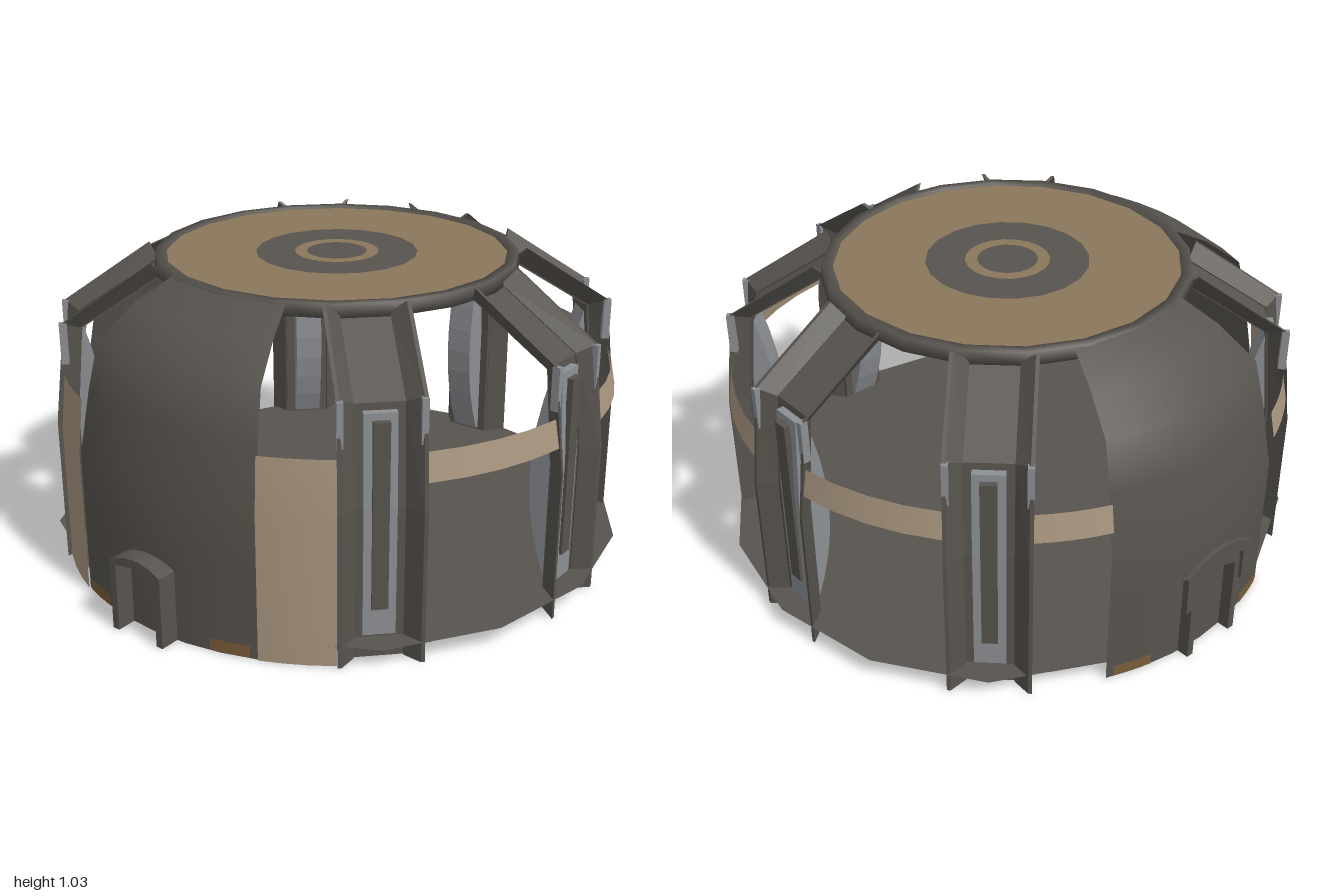
import * as THREE from 'three';

const DS = THREE.DoubleSide;
const mat = (name, color) => {
  const m = new THREE.MeshStandardMaterial({ color, side: DS });
  m.name = name;
  return m;
};
const rad = THREE.MathUtils.degToRad;

export function createModel() {
  const root = new THREE.Group();
  root.name = 'roundPavilion';
  const grey = mat('darkGrey', 0x57534e);
  const tan = mat('roofTan', 0x8b775c);
  const cream = mat('bandCream', 0xa8957f);
  const metal = mat('paleMetal', 0x8c8f93);
  const brown = mat('rustBrown', 0x7a5d3a);

  const add = (parent, name, geo, m, x = 0, y = 0, z = 0) => {
    const mesh = new THREE.Mesh(geo, m);
    mesh.name = name;
    mesh.position.set(x, y, z);
    parent.add(mesh);
    return mesh;
  };
  // Curved sheet turned about the centre, angles in degrees from +z towards +x
  const arcSheet = (pts, from, to, seg) => new THREE.LatheGeometry(
    pts.map(p => new THREE.Vector2(...p)), seg, rad(from), rad(to - from));

  // Sweep a closed section [x, depth] along a profile [r, y, nr, ny]
  const sweep = (profile, section) => {
    const at = (p, s) => [s[0], p[1] - s[1] * p[3], p[0] - s[1] * p[2]];
    const v = [], n = section.length;
    for (let i = 0; i < profile.length - 1; i++) {
      for (let j = 0; j < n; j++) {
        const a = at(profile[i], section[j]), b = at(profile[i], section[(j + 1) % n]);
        const c = at(profile[i + 1], section[(j + 1) % n]), d = at(profile[i + 1], section[j]);
        v.push(...a, ...b, ...c, ...a, ...c, ...d);
      }
    }
    for (const [p, flip] of [[profile[0], true], [profile[profile.length - 1], false]]) {
      for (let j = 1; j < n - 1; j++) {
        const t = [section[0], section[j], section[j + 1]].map(s => at(p, s));
        if (flip) t.reverse();
        v.push(...t.flat());
      }
    }
    const g = new THREE.BufferGeometry();
    g.setAttribute('position', new THREE.Float32BufferAttribute(v, 3));
    g.computeVertexNormals();
    return g;
  };

  // Floor: shallow dish below, sixteen-sided deck above
  add(root, 'floorDish', arcSheet([[0, 0], [0.86, 0], [0.94, 0.068]], 0, 360, 32), grey);
  const deck = new THREE.Shape();
  for (let i = 0; i < 16; i++) {
    const t = i * 22.5;
    const walled = Math.abs(t - 180) < 23 || Math.abs(t - 270) < 23;
    const r = walled ? 0.94 : 0.98;
    deck[i ? 'lineTo' : 'moveTo'](r * Math.sin(rad(t)), -r * Math.cos(rad(t)));
  }
  add(root, 'floorDeck', new THREE.ShapeGeometry(deck), grey, 0, 0.07, 0).rotation.x = -Math.PI / 2;

  // Roof: concentric rings inside a shallow rim
  const roof = new THREE.Group();
  roof.name = 'roof';
  root.add(roof);
  [[0, 0.1, grey], [0.1, 0.14, tan], [0.14, 0.27, grey], [0.27, 0.575, tan]].forEach(([a, b, m], i) => {
    const g = a ? new THREE.RingGeometry(a, b, 20) : new THREE.CircleGeometry(b, 20);
    add(roof, 'roofRing' + i, g, m, 0, 1.012, 0).rotation.x = -Math.PI / 2;
  });
  add(roof, 'roofRim', arcSheet([[0.57, 0.985], [0.612, 0.978], [0.605, 1.02], [0.57, 1.02], [0.57, 0.985]], 0, 360, 20), grey);

  // Solid domed bays on two sides
  const wall = [[0.94, 0], [0.94, 0.3], [0.94, 0.48], [0.9, 0.69], [0.86, 0.85], [0.73, 0.95], [0.6, 1.015]];
  for (const c of [180, 270]) {
    add(root, 'solidWall', arcSheet(wall, c - 22.5, c + 22.5, 6), grey);
    for (const s of [-1, 1]) {
      const a = c + s * 17;
      add(root, 'rustPatch', arcSheet([[0.944, 0.005], [0.944, 0.045]], a - 4, a + 4, 2), brown);
      const h = add(root, 'wallBracket', new THREE.BoxGeometry(0.015, 0.045, 0.02), brown,
        0.91 * Math.sin(rad(c + s * 13)), 0.245, 0.91 * Math.cos(rad(c + s * 13)));
      h.rotation.y = rad(c);
    }
  }

  // Band across the open bays
  for (const [a, b] of [[-37, -8], [8, 37], [53, 82], [98, 127], [143, 157.5], [202.5, 217]]) {
    add(root, 'windowBand', arcSheet([[0.945, 0.585], [0.927, 0.675]], a, b, 4), cream);
  }
  // Full-height side panels beside one solid bay
  for (const [a, b] of [[233, 247.5], [292.5, 307]]) {
    add(root, 'sidePanel', arcSheet([[0.945, 0], [0.945, 0.48], [0.925, 0.665]], a, b, 3), cream);
  }

  // Ribs: paired slanted flanges, recessed panel and a lens-backed column
  const ribLine = [[0.95, 0, 1, 0], [0.95, 0.5, 1, 0.05], [0.91, 0.84, 0.85, 0.5], [0.62, 1.03, 0.5, 0.85]];
  const flange = [[0.132, 0], [0.12, 0], [0.075, 0.05], [0.085, 0.062]];
  const lens = new THREE.Shape();
  lens.moveTo(-0.905, 0.08);
  lens.lineTo(-0.87, 0.08);
  lens.quadraticCurveTo(-0.73, 0.4, -0.86, 0.79);
  lens.lineTo(-0.89, 0.79);
  lens.lineTo(-0.905, 0.5);
  for (const angle of [-135, -45, 0, 45, 90, 135]) {
    const rib = new THREE.Group();
    rib.name = 'rib';
    rib.rotation.y = rad(angle);
    root.add(rib);
    add(rib, 'ribPanel', sweep(ribLine, [[0.08, 0.055], [-0.08, 0.055], [-0.08, 0.068], [0.08, 0.068]]), grey);
    for (const s of [-1, 1]) {
      const sec = flange.map(([x, d]) => [x * s, d]);
      if (s < 0) sec.reverse();
      add(rib, 'ribFlange', sweep(ribLine, sec), grey);
      add(rib, 'ribClip', new THREE.BoxGeometry(0.02, 0.14, 0.025), metal, s * 0.122, 0.77, 0.91);
    }
    const lensGeo = new THREE.ExtrudeGeometry(lens, { depth: 0.1, bevelEnabled: false, curveSegments: 8 });
    lensGeo.translate(0, 0, -0.05);
    add(rib, 'columnLens', lensGeo, metal).rotation.y = Math.PI / 2;
    add(rib, 'columnBar', new THREE.BoxGeometry(0.05, 0.6, 0.02), grey, 0, 0.47, 0.905);
  }

  // Arched surround between an outer and an inner half width
  const arch = (outer, inner, base, top, rise, depth) => {
    const s = new THREE.Shape();
    const spring = top - rise, k = (outer - inner);
    s.moveTo(-outer, base);
    s.lineTo(-outer, spring);
    s.quadraticCurveTo(0, top + rise, outer, spring);
    s.lineTo(outer, base);
    s.lineTo(inner, base);
    s.lineTo(inner, spring - k / 2);
    s.quadraticCurveTo(0, top + rise - 2 * k, -inner, spring - k / 2);
    s.lineTo(-inner, base);
    return new THREE.ExtrudeGeometry(s, { depth, bevelEnabled: false, curveSegments: 8 });
  };
  const backDoor = new THREE.Group();
  backDoor.name = 'backDoor';
  backDoor.rotation.y = Math.PI;
  root.add(backDoor);
  add(backDoor, 'doorFrame', arch(0.11, 0.085, 0, 0.335, 0.04, 0.065), grey, 0.01, 0, 0.91);
  add(backDoor, 'doorHood', arch(0.148, 0.108, 0.21, 0.395, 0.05, 0.014), grey, 0.01, 0, 0.972);

  const sideDoor = new THREE.Group();
  sideDoor.name = 'sideDoor';
  sideDoor.rotation.y = -Math.PI / 2;
  root.add(sideDoor);
  add(sideDoor, 'doorFrame', arch(0.105, 0.08, 0, 0.27, 0.03, 0.09), grey, -0.015, 0, 0.91);

  return root;
}
